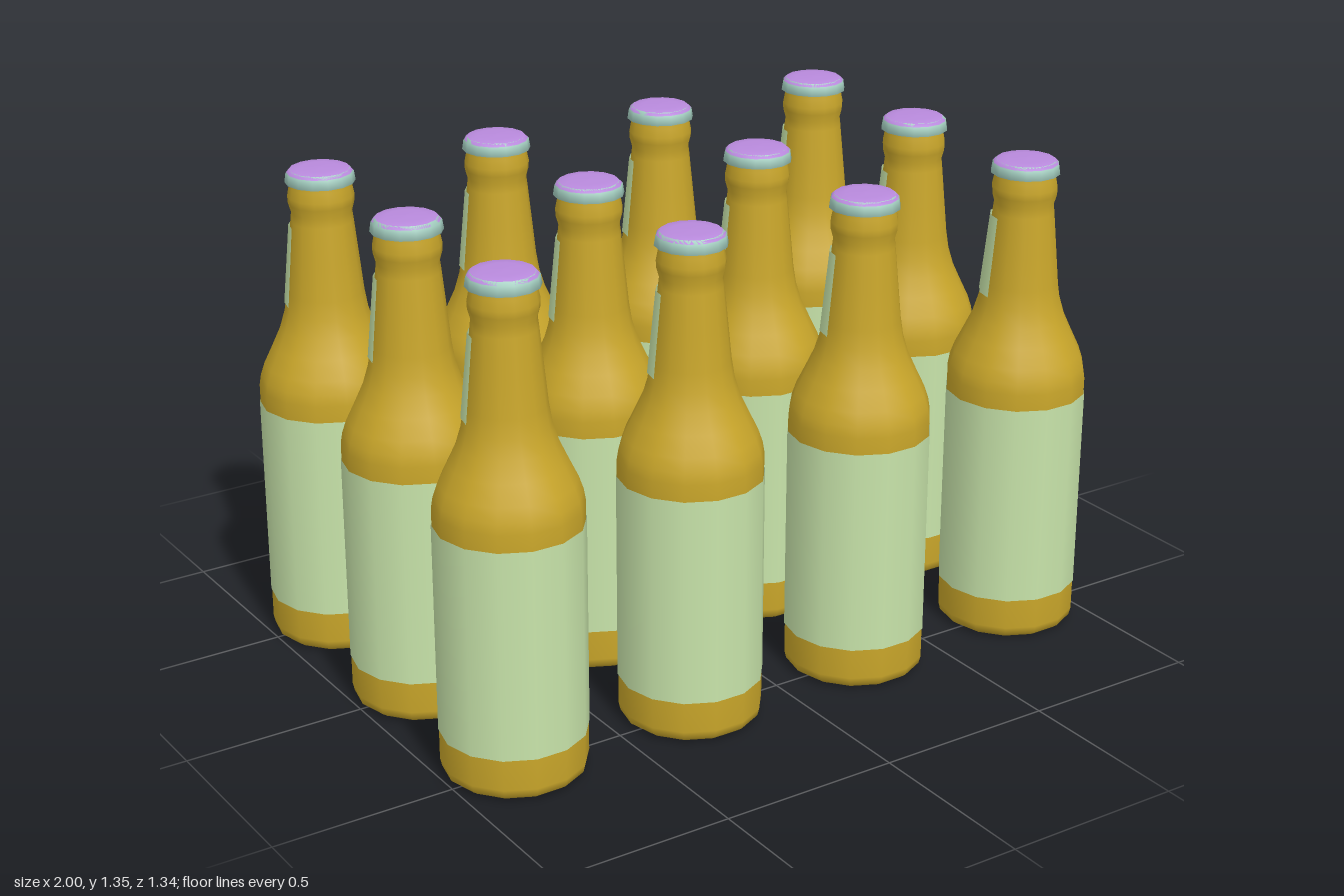
import * as THREE from 'three';

const SIDES = 14;
const material = (color, side = THREE.FrontSide) => new THREE.MeshStandardMaterial({ color, side });

// Turned part from [radius, height] pairs, listed from bottom to top
function turned(profile, sides = SIDES, start = Math.PI / 2, sweep = Math.PI * 2) {
  return new THREE.LatheGeometry(profile.map(([r, y]) => new THREE.Vector2(r, y)), sides, start, sweep);
}

export function createModel() {
  const glassMat = material(0xc9a62a);
  const labelMat = material(0xc8e4aa, THREE.DoubleSide);
  const capMat = material(0xb98add);
  const rimMat = material(0xa5d0c2, THREE.DoubleSide);

  const parts = [
    // Glass body: dished base, straight wall, sloping shoulder, neck and lip
    ['glass', turned([
      [0, 0.025], [0.09, 0.018], [0.13, 0.008], [0.145, 0], [0.17, 0.002], [0.186, 0.014], [0.191, 0.035],
      [0.191, 0.12], [0.191, 0.69], [0.191, 0.735], [0.186, 0.765], [0.174, 0.8], [0.15, 0.85],
      [0.127, 0.9], [0.112, 0.95], [0.104, 1.0], [0.094, 1.1], [0.084, 1.2], [0.081, 1.225],
      [0.088, 1.25], [0.089, 1.27], [0.084, 1.295], [0.08, 1.32],
    ]), glassMat],
    // Label all round the body
    ['bodyLabel', turned([[0.193, 0.12], [0.193, 0.69]]), labelMat],
    // Label round the back half of the neck
    ['neckLabel', turned([[0.112, 0.97], [0.09, 1.19]], SIDES / 2, Math.PI / 2, Math.PI), labelMat],
    // Crown cap: flared skirt and a slightly domed top
    ['capSkirt', turned([[0.082, 1.308], [0.094, 1.308], [0.09, 1.333], [0.08, 1.343]]), rimMat],
    ['capTop', turned([[0.088, 1.335], [0.08, 1.343], [0.05, 1.346], [0, 1.347]]), capMat],
  ];

  // Three rows of four bottles
  const model = new THREE.Group();
  model.name = 'bottles';
  for (const z of [-0.483, 0, 0.483]) {
    for (let i = 0; i < 4; i++) {
      const bottle = new THREE.Group();
      bottle.name = 'bottle';
      for (const [name, geometry, mat] of parts) {
        const mesh = new THREE.Mesh(geometry, mat);
        mesh.name = name;
        bottle.add(mesh);
      }
      bottle.position.set((i - 1.5) * 0.538, 0, z);
      model.add(bottle);
    }
  }
  return model;
}
